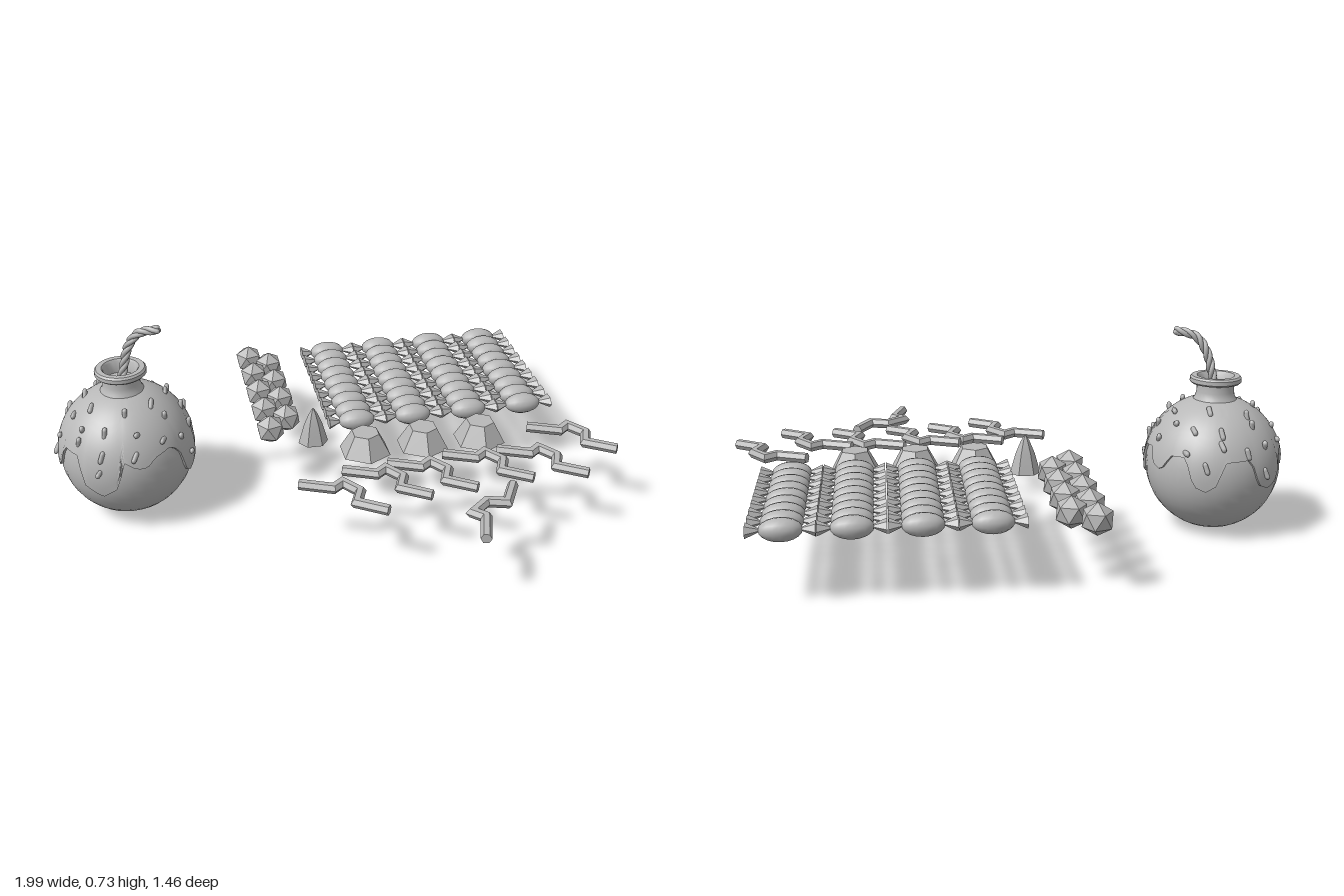
import * as THREE from 'three';
import { toCreasedNormals } from 'three/addons/utils/BufferGeometryUtils.js';

const grey = new THREE.MeshStandardMaterial({ color: 0xb8b8b8 });
grey.name = 'plain grey';

function add(parent, geometry, name, x = 0, y = 0, z = 0) {
  const mesh = new THREE.Mesh(geometry, grey);
  mesh.name = name;
  mesh.position.set(x, y, z);
  parent.add(mesh);
  return mesh;
}

// Skin a list of rings (equal point counts); crease keeps hard edges sharp
function loft(rings, crease, closeEnds = false) {
  const n = rings[0].length, pos = [], idx = [];
  rings.forEach(r => r.forEach(p => pos.push(p.x, p.y, p.z)));
  for (let i = 0; i < rings.length - 1; i++) {
    for (let j = 0; j < n; j++) {
      const a = i * n + j, b = i * n + (j + 1) % n;
      idx.push(a, a + n, b, b, a + n, b + n);
    }
  }
  if (closeEnds) {
    const last = (rings.length - 1) * n;
    for (let j = 1; j < n - 1; j++) idx.push(0, j, j + 1, last, last + j + 1, last + j);
  }
  const g = new THREE.BufferGeometry();
  g.setAttribute('position', new THREE.Float32BufferAttribute(pos, 3));
  g.setIndex(idx);
  return toCreasedNormals(g, crease);
}

// Lower edge of the icing: [azimuth, polar angle] in degrees
const DRIPS = [[-180, 75], [-162, 74], [-154, 96], [-142, 101], [-130, 95], [-123, 74], [-105, 72],
  [-96, 92], [-84, 97], [-73, 92], [-66, 72], [-46, 73], [-41, 97], [-25, 107], [-11, 97], [-4, 74],
  [5, 80], [14, 81], [22, 74], [38, 70], [47, 76], [54, 99], [65, 105], [76, 98], [83, 74], [100, 72],
  [107, 84], [118, 88], [128, 74], [142, 73], [150, 96], [160, 100], [169, 94], [175, 76], [180, 75]];

function dripAt(deg) {
  const k = Math.max(1, DRIPS.findIndex(d => d[0] >= deg));
  const [a0, p0] = DRIPS[k - 1], [a1, p1] = DRIPS[k];
  return p0 + (p1 - p0) * (deg - a0) / (a1 - a0);
}

function onSphere(r, azimuth, polar) {
  return new THREE.Vector3().setFromSphericalCoords(r, polar, azimuth);
}

function icingGeometry() {
  const rings = [], rows = 12, cols = 90, rad = Math.PI / 180;
  for (let i = 0; i <= rows + 1; i++) {
    const t = Math.min(i, rows) / rows, ring = [];
    for (let j = 0; j < cols; j++) {
      const deg = -180 + j * 360 / cols;
      const polar = (12 + (dripAt(deg) - 12) * t) * rad;
      ring.push(onSphere(i > rows ? 0.234 : 0.247, deg * rad, polar));
    }
    rings.push(ring);
  }
  return loft(rings, 0.7);
}

function makeBomb() {
  const bomb = new THREE.Group();
  bomb.name = 'bomb';
  bomb.position.set(-0.74, 0.242, -0.105);
  add(bomb, new THREE.SphereGeometry(0.239, 32, 24), 'body');
  add(bomb, icingGeometry(), 'icing');

  // Neck with a flared lip and a recessed mouth
  const profile = [[0.085, 0.222], [0.07, 0.245], [0.066, 0.262], [0.066, 0.29], [0.085, 0.292], [0.091, 0.298],
    [0.091, 0.312], [0.085, 0.319], [0.066, 0.319], [0.06, 0.312], [0.056, 0.27], [0, 0.27]];
  const neck = new THREE.LatheGeometry(profile.map(p => new THREE.Vector2(...p)), 28);
  add(bomb, toCreasedNormals(neck, 0.7), 'neck');

  // Twisted rope fuse
  const path = new THREE.CatmullRomCurve3([[0, 0.265, 0], [0.014, 0.325, 0.003], [0.034, 0.40, 0.01],
    [0.072, 0.455, 0.026], [0.138, 0.473, 0.048]].map(p => new THREE.Vector3(...p)));
  const steps = 40, frames = path.computeFrenetFrames(steps);
  for (let s = 0; s < 3; s++) {
    const points = [];
    for (let i = 0; i <= steps; i++) {
      const a = s * Math.PI * 2 / 3 + i / steps * Math.PI * 5;
      points.push(path.getPointAt(i / steps)
        .addScaledVector(frames.normals[i], 0.008 * Math.cos(a))
        .addScaledVector(frames.binormals[i], 0.008 * Math.sin(a)));
    }
    add(bomb, new THREE.TubeGeometry(new THREE.CatmullRomCurve3(points), 60, 0.009, 8), 'fuseStrand');
    const tip = points[steps];
    add(bomb, new THREE.SphereGeometry(0.009, 8, 6), 'fuseTip', tip.x, tip.y, tip.z);
  }

  // Sprinkles in rings over the icing, turned at varied angles
  const sprinkle = new THREE.CapsuleGeometry(0.011, 0.024, 4, 8);
  [[34, 7], [50, 11], [66, 13], [84, 5]].forEach(([polar, count], row) => {
    for (let i = 0; i < count; i++) {
      const k = i + row * 7;
      let az = (i + 0.5 * (row % 2)) / count * Math.PI * 2 + 0.12 * Math.sin(k * 5.1);
      if (row === 3) az = [-147, -85, -25, 65, 160][i] * Math.PI / 180;
      const p = onSphere(0.248, az, (polar + 4 * Math.sin(k * 3.7)) * Math.PI / 180);
      const m = add(bomb, sprinkle, 'sprinkle', p.x, p.y, p.z);
      m.lookAt(p.clone().multiplyScalar(2));
      m.rotateZ(k * 2.4);
      m.scale.z = 0.8;
    }
  });
  return bomb;
}

// Bent hexagonal stick following a zigzag, mitred at each corner
function stickGeometry() {
  const pts = [[0, 0], [0.112, 0.048], [0.149, 0.018], [0.197, 0.085], [0.171, 0.149], [0.267, 0.213]]
    .map(p => new THREE.Vector2(...p));
  const rings = pts.map((p, i) => {
    const before = p.clone().sub(pts[Math.max(i - 1, 0)]).normalize();
    const after = pts[Math.min(i + 1, pts.length - 1)].clone().sub(p).normalize();
    const dir = before.clone().add(after).normalize();
    const mitre = 1 / Math.max(0.6, dir.dot(i ? before : after));
    return Array.from({ length: 6 }, (_, j) => {
      const a = j * Math.PI / 3, side = 0.019 * mitre * Math.cos(a);
      return new THREE.Vector3(p.x - dir.y * side, 0.019 * Math.sin(a), p.y + dir.x * side);
    });
  });
  return loft(rings, 0.5, true);
}

// Pointed six-sided drop, rings listed from the tip down
function dropGeometry() {
  const rings = [[0.345, 0.06], [0.325, 0.28], [0.28, 0.62], [0.205, 1]].map(([y, s]) =>
    Array.from({ length: 6 }, (_, j) => {
      const a = j * Math.PI / 3;
      return new THREE.Vector3(0.055 * s * Math.cos(a), y, -0.045 * s * Math.sin(a));
    }));
  // Loft faces outward when the ring turns against the travel direction
  rings.forEach(r => r.reverse());
  rings.reverse();
  return loft(rings, 0.3, true);
}

export function createModel() {
  const model = new THREE.Group();
  model.name = 'bombAndSweets';
  model.add(makeBomb());

  // Two staggered columns of faceted balls
  const ball = new THREE.IcosahedronGeometry(0.056, 0).rotateZ(Math.atan(2 / (1 + Math.sqrt(5))));
  for (let i = 0; i < 9; i++) {
    add(model, ball, 'facetedBall', i % 2 ? -0.145 : -0.216, 0.247, -0.688 + i * 0.0722);
  }

  // Wrapped sweets: four columns of nine, each with two flattened wrapper ends
  const sweet = new THREE.SphereGeometry(1, 14, 10).rotateZ(Math.PI / 2).scale(0.068, 0.038, 0.042);
  const end = toCreasedNormals(new THREE.ConeGeometry(0.038, 0.055, 6), 0.5).rotateZ(Math.PI / 2).scale(1, 0.6, 1);
  for (const x of [0.11, 0.326, 0.543, 0.759]) {
    for (let i = 0; i < 9; i++) {
      const wrapped = new THREE.Group();
      wrapped.name = 'wrappedSweet';
      wrapped.position.set(x, 0.25, -0.688 + i * 0.0722);
      add(wrapped, sweet, 'sweetBody');
      add(wrapped, end, 'wrapperEnd', 0.079);
      add(wrapped, end, 'wrapperEnd', -0.079).rotation.y = Math.PI;
      model.add(wrapped);
    }
  }

  // Hexagonal gumdrops
  const gumdrop = toCreasedNormals(new THREE.CylinderGeometry(0.052, 0.097, 0.078, 6), 0.3);
  for (const x of [0.11, 0.326, 0.543]) add(model, gumdrop, 'gumdrop', x, 0.242, 0.038);

  add(model, dropGeometry(), 'pointedDrop', -0.065, 0, -0.058);

  // Zigzag sticks
  const stick = stickGeometry();
  const places = [[-0.178, 0.283, 0], [-0.013, 0.224, 0], [0.152, 0.208, 0], [0.36, 0.187, 0],
    [0.557, 0.197, 0], [0.717, 0.064, 0], [0.355, 0.715, 1.67]];
  for (const [x, z, turn] of places) add(model, stick, 'zigzagStick', x, 0.248, z).rotation.y = turn;

  return model;
}
